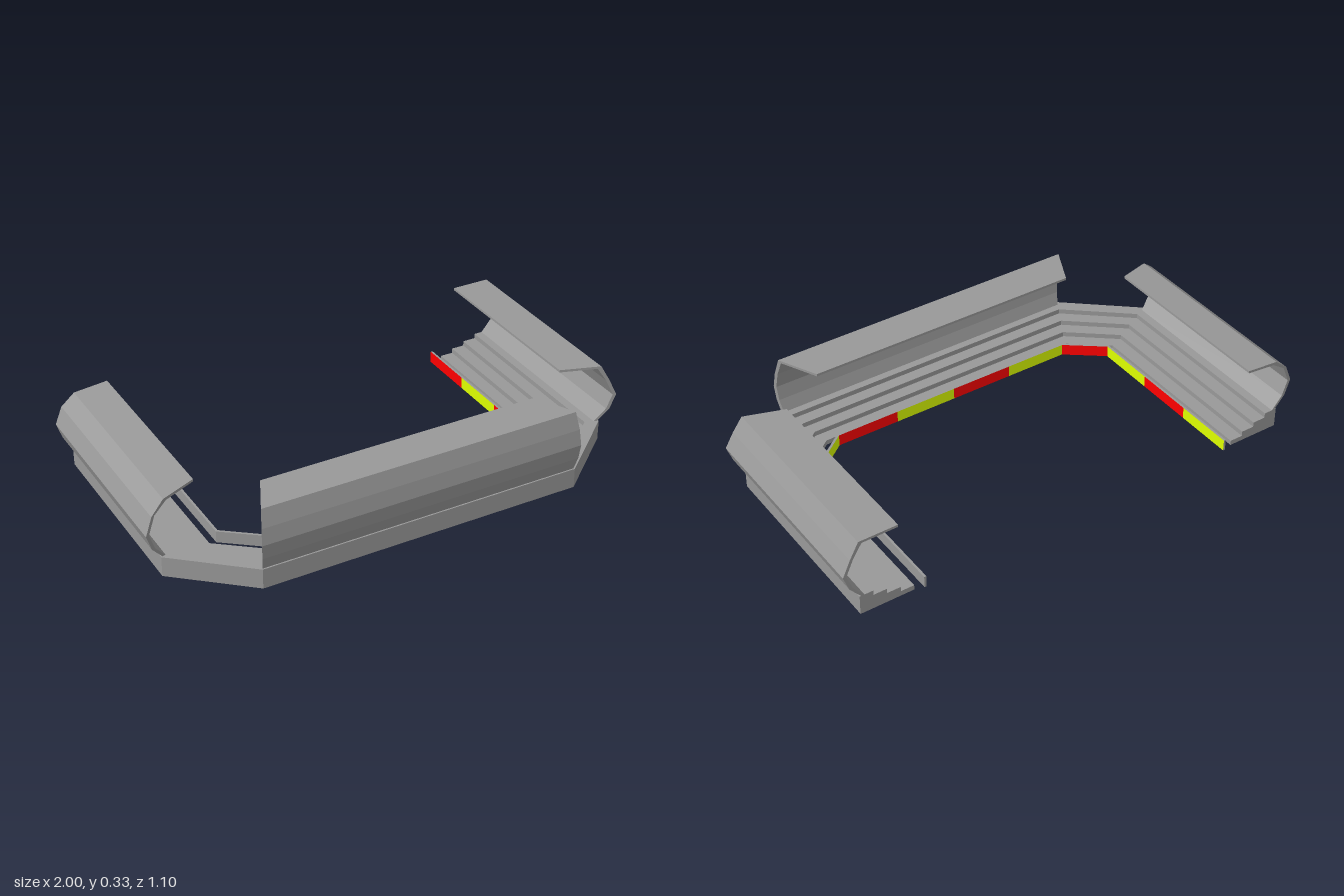
import * as THREE from 'three';

const material = (color) => new THREE.MeshStandardMaterial({ color, flatShading: true, side: THREE.DoubleSide });
const GREY = material(0x999999), RED = material(0xff0000), YELLOW = material(0xdeff00);

// A station is a mitre line on the ground: [innerX, innerZ, outerX, outerZ].
const mirrorStations = (half) => [...half, ...half.map(([a, b, c, d]) => [-a, b, -c, d]).reverse()];

const STAND = mirrorStations([
  [0.72, -0.54, 0.94, -0.54],
  [0.72, 0.216, 0.94, 0.29],
  [0.567, 0.337, 0.66, 0.53],
]);
const BARRIER = mirrorStations([
  [0.675, -0.55, 0.684, -0.55],
  [0.675, 0.192, 0.684, 0.197],
  [0.528, 0.306, 0.532, 0.315],
]);

// Sweeps a profile of [t, y] points along stations; t runs from inner (0) to outer (1).
function sweep(name, profile, stations, mat, { closed = true, caps = true } = {}) {
  const pos = [];
  const point = ([ax, az, bx, bz], [t, y]) => [ax + (bx - ax) * t, y, az + (bz - az) * t];
  const n = profile.length;
  for (let s = 0; s < stations.length - 1; s++) {
    for (let i = 0; i < (closed ? n : n - 1); i++) {
      const p = profile[i], q = profile[(i + 1) % n];
      const a = point(stations[s], p), b = point(stations[s + 1], p);
      const c = point(stations[s + 1], q), d = point(stations[s], q);
      pos.push(...a, ...b, ...c, ...a, ...c, ...d);
    }
  }
  if (caps) {
    const outline = profile.map(([t, y]) => new THREE.Vector2(t * 0.22, y));
    for (const tri of THREE.ShapeUtils.triangulateShape(outline, [])) {
      for (const i of tri) pos.push(...point(stations[0], profile[i]));
      for (const i of [...tri].reverse()) pos.push(...point(stations[stations.length - 1], profile[i]));
    }
  }
  const geo = new THREE.BufferGeometry();
  geo.setAttribute('position', new THREE.Float32BufferAttribute(pos, 3));
  geo.computeVertexNormals();
  const mesh = new THREE.Mesh(geo, mat);
  mesh.name = name;
  return mesh;
}

// Gives a canopy's outer curve (roof tip first, foot last) a thin inner skin.
function canopyProfile(outer) {
  const inner = outer.map(([t, y], i) => [i === 0 ? t : t - 0.06, y > 0.3 ? y - 0.01 : y]);
  return [...outer, ...inner.reverse()];
}

export function createModel() {
  const model = new THREE.Group();
  model.name = 'grandstand';

  // Stepped terrace, hollow underneath
  const steps = 4, rise = 0.0205;
  const terrace = [[0, 0]];
  for (let i = 0; i < steps; i++) {
    terrace.push([i / steps, (i + 1) * rise], [(i + 1) / steps, (i + 1) * rise]);
  }
  terrace.push([1, 0]);
  model.add(sweep('terrace', terrace, STAND, GREY, { closed: false }));

  // Foot and inner skin that thicken the terrace's outer wall
  model.add(sweep('terraceWallLining', [[1, 0], [0.93, 0], [0.93, 0.082]], STAND, GREY, { closed: false, caps: false }));

  // Curved canopies over the three straight runs
  const leftCurve = [[0.25, 0.33], [0.97, 0.33], [1.13, 0.265], [1.27, 0.197], [1.17, 0.135], [0.97, 0.082]];
  const rightCurve = [[0.27, 0.33], [0.89, 0.317], [1.14, 0.27], [1.27, 0.2], [1.17, 0.135], [0.97, 0.082]];
  const frontCurve = [[0.11, 0.33], [0.94, 0.33], [1.04, 0.26], [1.09, 0.195], [1.05, 0.135], [0.97, 0.082]];
  [['leftCanopy', leftCurve, 0], ['frontCanopy', frontCurve, 2], ['rightCanopy', rightCurve, 4]]
    .forEach(([name, curve, s]) => model.add(sweep(name, canopyProfile(curve), STAND.slice(s, s + 2), GREY)));

  // Pitch-side barrier: grey back, coloured panels on the inner face
  const barrier = new THREE.Group();
  barrier.name = 'barrier';
  const h = 0.048;
  barrier.add(sweep('barrierBack', [[0, h], [1, h], [1, 0], [0, 0]], BARRIER, GREY, { closed: false }));
  let count = 0;
  [3, 1, 4, 1, 3].forEach((panels, s) => {
    const at = (k) => BARRIER[s].map((v, i) => v + (BARRIER[s + 1][i] - v) * k / panels);
    for (let k = 0; k < panels; k++) {
      const mat = count++ % 2 ? YELLOW : RED;
      barrier.add(sweep('barrierPanel', [[0, 0], [0, h]], [at(k), at(k + 1)], mat, { closed: false, caps: false }));
    }
  });
  model.add(barrier);

  return model;
}
